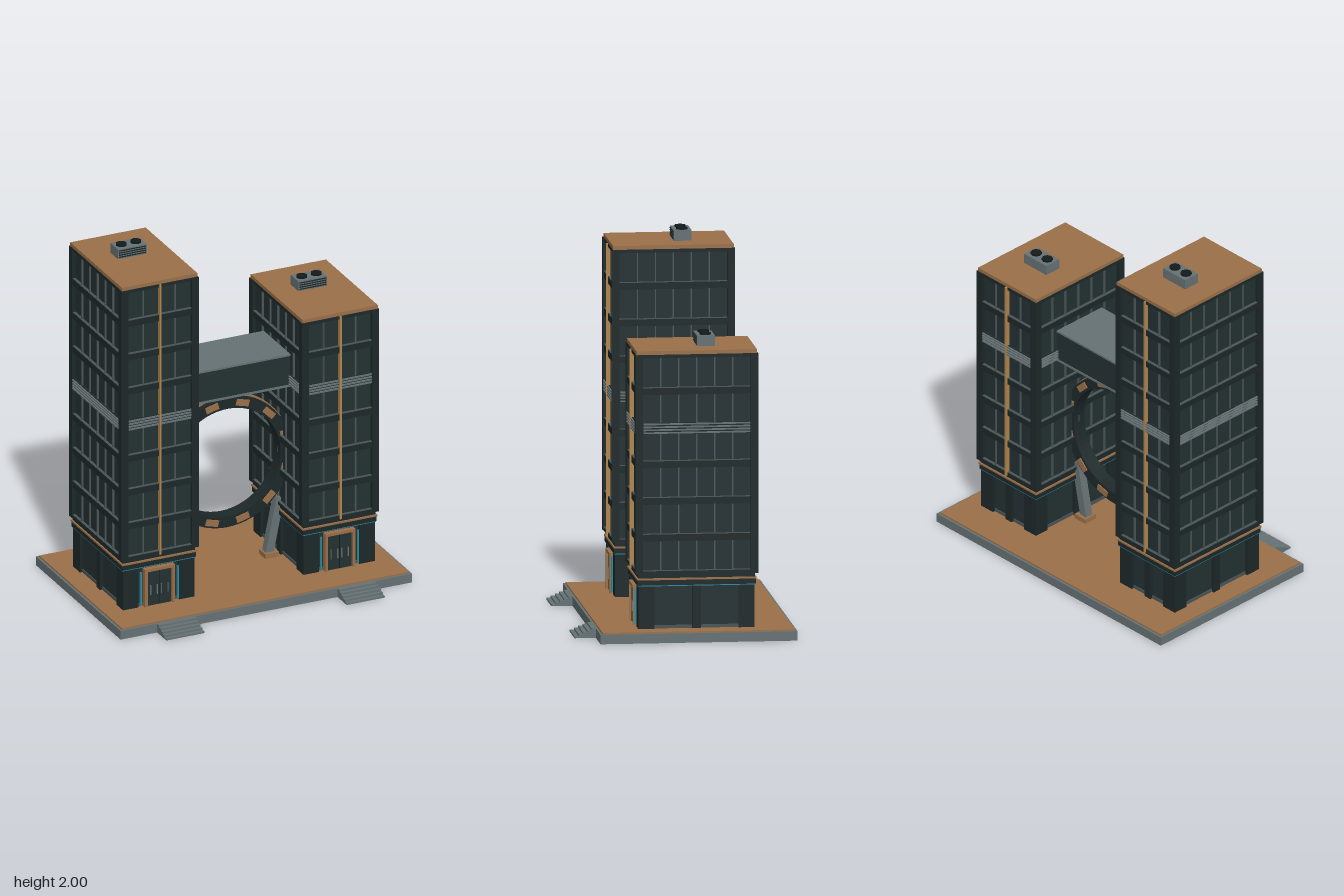
import * as THREE from 'three';

const mat = (name, color) => {
  const m = new THREE.MeshStandardMaterial({ color });
  m.name = name;
  return m;
};

export function createModel() {
  const glass = mat('dark glass', 0x233032);
  const frame = mat('dark frame', 0x1d2829);
  const grey = mat('grey stone', 0x667174);
  const mullionGrey = mat('mullion grey', 0x4a5456);
  const copper = mat('copper', 0x9a7049);
  const brass = mat('brass trim', 0xb0854f);
  const teal = mat('teal light', 0x2a8ca3);
  const black = mat('fan black', 0x14191b);

  const root = new THREE.Group();
  root.name = 'twinTowers';

  const box = (parent, name, material, w, h, d, x, y, z) => {
    const m = new THREE.Mesh(new THREE.BoxGeometry(w, h, d), material);
    m.name = name;
    m.position.set(x, y, z);
    parent.add(m);
    return m;
  };
  // box given by its bottom and top heights
  const slab = (parent, name, material, w, d, y0, y1, x = 0, z = 0) =>
    box(parent, name, material, w, y1 - y0, d, x, (y0 + y1) / 2, z);

  // everything but the steps is centred on this line
  const site = new THREE.Group();
  site.name = 'site';
  site.position.z = -0.057;
  root.add(site);

  // plinth with paved top
  slab(site, 'plinth', grey, 1.7, 1.046, 0, 0.05);
  slab(site, 'paving', copper, 1.674, 1.02, 0.05, 0.058);

  const BASE = 0.35, FLOOR = 0.1956, W = 0.45, D = 0.652;

  // one side of a tower: w is its full width, d its distance from the axis
  function facade(tower, w, d, turn, floors, bays, trim) {
    const side = new THREE.Group();
    side.name = 'facade';
    side.rotation.y = turn;
    tower.add(side);
    const inner = w - 0.08, top = BASE + floors * FLOOR;
    for (let i = 1; i < bays; i++) {
      if (trim && i === bays / 2) continue;
      slab(side, 'mullion', mullionGrey, 0.007, 0.016, BASE, top, -inner / 2 + inner * i / bays, d - 0.018);
    }
    for (let k = 0; k <= floors; k++) {
      const y = BASE + k * FLOOR;
      if (k === 4) {
        // louvred service floor
        slab(side, 'louvreBack', frame, inner, 0.016, y - 0.032, y + 0.026, 0, d - 0.014);
        for (let s = 0; s < 4; s++)
          box(side, 'louvreSlat', grey, inner - 0.006, 0.008, 0.014, 0, y - 0.026 + s * 0.0155, d - 0.005);
      } else {
        const y0 = k === 0 ? y : y - 0.018, y1 = k === floors ? y : y + 0.018;
        slab(side, 'spandrel', frame, inner, 0.022, y0, y1, 0, d - 0.015);
        if (k < floors) slab(side, 'sill', mullionGrey, inner, 0.022, y1, y1 + 0.003, 0, d - 0.015);
      }
    }
    if (trim) slab(side, 'brassFin', brass, 0.011, 0.024, BASE, top, 0, d - 0.006);
  }

  function entrance(tower) {
    const door = new THREE.Group();
    door.name = 'entrance';
    door.position.z = 0.31;
    tower.add(door);
    for (const s of [-1, 1]) {
      slab(door, 'doorPost', copper, 0.016, 0.03, 0.058, 0.275, s * 0.08, 0);
      slab(door, 'doorLeaf', glass, 0.068, 0.012, 0.058, 0.258, s * 0.036, -0.004);
      slab(door, 'doorHandle', grey, 0.004, 0.008, 0.12, 0.175, s * 0.012, 0.004);
      slab(door, 'sideHandle', grey, 0.004, 0.008, 0.12, 0.175, s * 0.05, 0.004);
      slab(door, 'lightStrip', teal, 0.009, 0.009, 0.07, 0.26, s * 0.108, 0.003);
    }
    slab(door, 'doorHead', copper, 0.176, 0.03, 0.259, 0.275);
    slab(door, 'doorGap', black, 0.004, 0.014, 0.058, 0.258, 0, -0.004);
  }

  function roofUnit(tower, y) {
    const unit = new THREE.Group();
    unit.name = 'roofUnit';
    unit.position.set(0, y, -0.065);
    tower.add(unit);
    slab(unit, 'housing', grey, 0.168, 0.095, 0, 0.056);
    for (let s = 0; s < 4; s++)
      box(unit, 'vent', frame, 0.155, 0.006, 0.004, 0, 0.01 + s * 0.012, 0.048);
    for (const s of [-1, 1]) {
      const fan = new THREE.Mesh(new THREE.CylinderGeometry(0.03, 0.03, 0.01, 8), black);
      fan.name = 'fan';
      fan.position.set(s * 0.042, 0.061, 0);
      unit.add(fan);
    }
  }

  function makeTower(name, x, floors) {
    const tower = new THREE.Group();
    tower.name = name;
    tower.position.x = x;
    site.add(tower);
    const top = BASE + floors * FLOOR;

    // podium: recessed wall, pillars and plinth course
    slab(tower, 'podiumWall', glass, 0.38, 0.58, 0.058, 0.29);
    slab(tower, 'podiumFoot', mullionGrey, 0.39, 0.59, 0.058, 0.075);
    for (const sx of [-1, 1]) {
      for (const sz of [-1, 1])
        slab(tower, 'cornerPier', frame, 0.09, 0.085, 0.058, 0.29, sx * 0.163, sz * 0.266);
      slab(tower, 'middlePier', frame, 0.03, 0.045, 0.058, 0.29, sx * 0.193, 0);
    }
    slab(tower, 'backPier', frame, 0.045, 0.03, 0.058, 0.29, 0, -0.293);
    entrance(tower);

    // bands between podium and shaft
    slab(tower, 'lightBand', teal, 0.426, 0.626, 0.286, 0.291);
    slab(tower, 'lowerBand', frame, 0.43, 0.63, 0.291, 0.319);
    slab(tower, 'copperBand', copper, 0.436, 0.636, 0.319, 0.329);
    slab(tower, 'upperBand', frame, 0.42, 0.62, 0.329, BASE);

    // shaft
    slab(tower, 'glassCore', glass, W - 0.04, D - 0.04, BASE, top);
    for (const sx of [-1, 1]) for (const sz of [-1, 1])
      slab(tower, 'cornerColumn', frame, 0.04, 0.04, BASE, top, sx * (W / 2 - 0.02), sz * (D / 2 - 0.02));
    for (let k = 0; k < 4; k++) {
      const long = k % 2 === 1;
      facade(tower, long ? D : W, (long ? W : D) / 2, k * Math.PI / 2, floors, long ? 6 : 4, !long);
    }
    slab(tower, 'roof', copper, 0.44, 0.64, top, top + 0.02);
    roofUnit(tower, top + 0.02);
  }
  makeTower('tallTower', -0.526, 8);
  makeTower('shortTower', 0.526, 6);

  // bridge between the towers
  const bridge = new THREE.Group();
  bridge.name = 'bridge';
  site.add(bridge);
  slab(bridge, 'bridgeSoffit', copper, 0.62, 0.3, 1.088, 1.093);
  slab(bridge, 'bridgeFloor', grey, 0.62, 0.33, 1.092, 1.104);
  slab(bridge, 'bridgeWall', glass, 0.62, 0.322, 1.104, 1.27);
  slab(bridge, 'bridgeRoof', grey, 0.62, 0.33, 1.27, 1.28);

  // ring with copper panels on both faces
  const ring = new THREE.Group();
  ring.name = 'ring';
  ring.position.y = 0.66;
  site.add(ring);
  const annulus = (name, material, outer, inner, depth) => {
    const shape = new THREE.Shape().absarc(0, 0, outer, 0, Math.PI * 2);
    shape.holes.push(new THREE.Path().absarc(0, 0, inner, 0, Math.PI * 2, true));
    const geo = new THREE.ExtrudeGeometry(shape, { depth, bevelEnabled: false, curveSegments: 32 });
    geo.translate(0, 0, -depth / 2);
    const m = new THREE.Mesh(geo, material);
    m.name = name;
    ring.add(m);
  };
  annulus('ringBody', frame, 0.374, 0.312, 0.08);
  annulus('ringRim', copper, 0.38, 0.37, 0.03);
  for (let i = 0; i < 12; i++) {
    const a = (i + 0.5) * Math.PI / 6;
    const p = box(ring, 'ringPanel', copper, 0.036, 0.075, 0.092, Math.cos(a) * 0.344, Math.sin(a) * 0.344, 0);
    p.rotation.z = a;
  }

  for (const s of [-1, 1]) {
    // leaning strut on its footing
    slab(site, 'strutFooting', copper, 0.08, 0.08, 0.058, 0.085, s * 0.262, 0);
    const strut = box(site, 'strut', grey, 0.046, 0.32, 0.046, s * 0.287, 0.235, 0);
    strut.rotation.z = s * -0.2;
    // entrance steps
    for (let i = 0; i < 5; i++)
      slab(root, 'step', grey, 0.222, 0.0226 * (i + 1), 0, 0.05 - i * 0.01, s * 0.526, 0.466 + 0.0113 * (i + 1));
  }
  return root;
}
